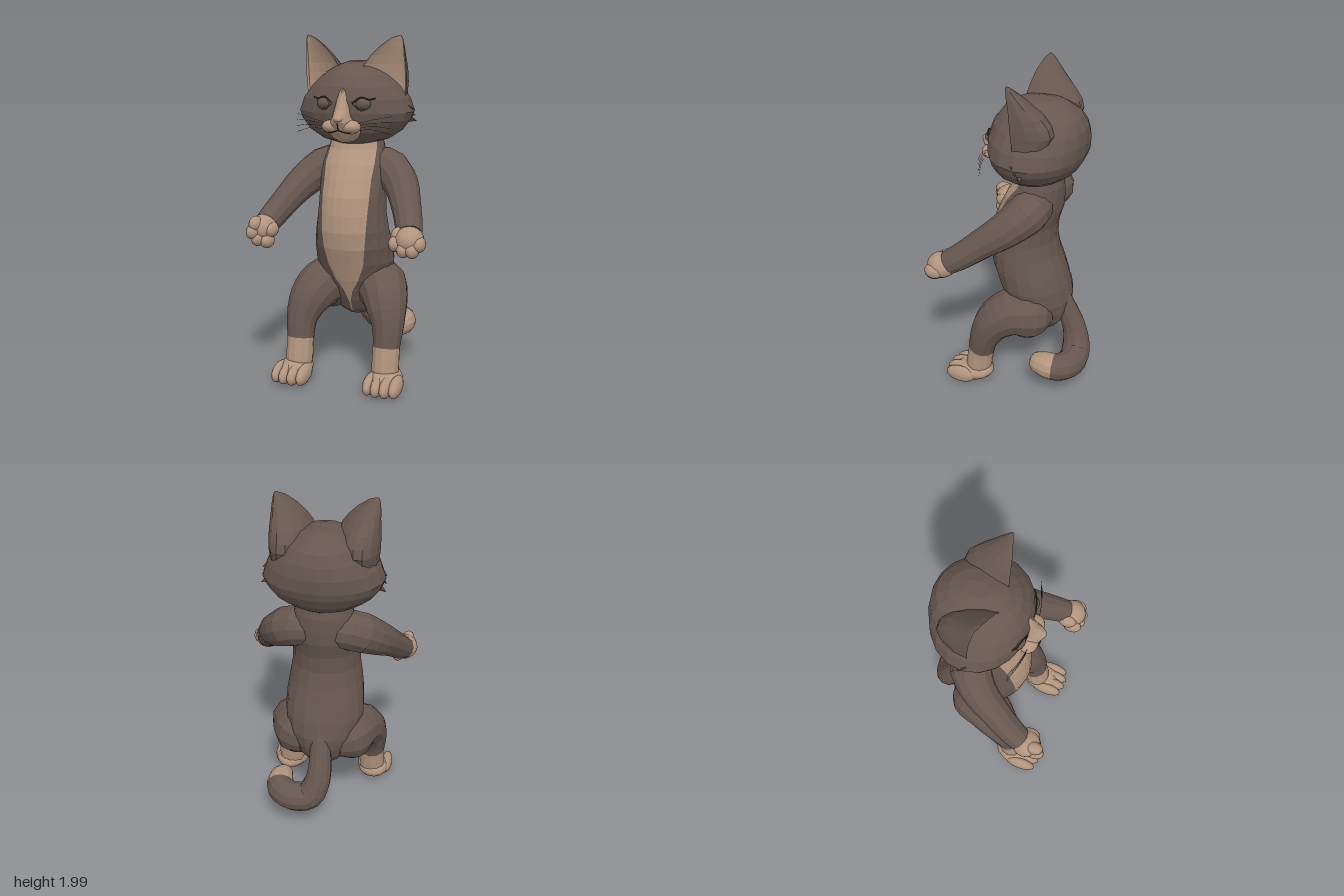
import * as THREE from 'three';

const mat = (name, color) => Object.assign(new THREE.MeshStandardMaterial({ color }), { name });
const V = (x, y, z) => new THREE.Vector3(x, y, z);

export function createModel() {
  const fur = mat('dark fur', 0x66574f);
  const cream = mat('cream fur', 0xb2957f);
  const ink = mat('dark line', 0x3d332e);

  const model = new THREE.Group();
  const cat = new THREE.Group();
  cat.name = 'cat';
  cat.position.x = -0.015;
  model.add(cat);

  const add = (name, geometry, material) => {
    const mesh = new THREE.Mesh(geometry, material);
    mesh.name = name;
    cat.add(mesh);
    return mesh;
  };

  // Faceted skin over closed rings, capped at both ends; pick chooses material 0 or 1
  const skin = (name, rings, mats, pick = () => 0) => {
    const lists = mats.map(() => []);
    const tri = (k, ...pts) => pts.forEach((p) => lists[k].push(p.x, p.y, p.z));
    const n = rings[0].length;
    const middle = (r) => r.reduce((s, p) => s.add(p), V(0, 0, 0)).divideScalar(n);
    const end = rings[rings.length - 1];
    const first = middle(rings[0]);
    const last = middle(end);
    for (let j = 0; j < n; j++) {
      const k = (j + 1) % n;
      for (let i = 0; i < rings.length - 1; i++) {
        const a = rings[i], b = rings[i + 1], m = pick(i, j);
        tri(m, a[j], a[k], b[k]);
        tri(m, a[j], b[k], b[j]);
      }
      tri(pick(0, j), first, rings[0][k], rings[0][j]);
      tri(pick(rings.length - 2, j), last, end[j], end[k]);
    }
    const g = new THREE.BufferGeometry();
    g.setAttribute('position', new THREE.Float32BufferAttribute(lists.flat(), 3));
    let start = 0;
    lists.forEach((l, m) => {
      g.addGroup(start, l.length / 3, m);
      start += l.length / 3;
    });
    g.computeVertexNormals();
    return add(name, g, mats);
  };

  // Horizontal oval: half width w, back zb, front zf; the first `nf` columns span +-bib at the front
  const oval = (y, w, zb, zf, bib = 0.9, n = 20, nf = 6) => {
    const zc = (zb + zf) / 2, d = (zf - zb) / 2;
    return Array.from({ length: n }, (_, j) => {
      const a = j <= nf ? -bib + (2 * bib * j) / nf
        : bib + ((2 * Math.PI - 2 * bib) * (j - nf)) / (n - nf);
      return V(w * Math.sin(a), y, zc + d * Math.cos(a));
    });
  };

  // Tapered limb along a smooth path of [x, y, z, radius]
  const limb = (name, pts, mats, steps, split = steps, sides = 12) => {
    const path = new THREE.CatmullRomCurve3(pts.map((p) => V(p[0], p[1], p[2])));
    const width = new THREE.CatmullRomCurve3(pts.map((p, i) => V(p[3], i, 0)));
    const normal = V(0.31, 0.2, 0.93);
    const rings = [];
    for (let i = 0; i <= steps; i++) {
      const c = path.getPoint(i / steps), t = path.getTangent(i / steps);
      const r = width.getPoint(i / steps).x;
      normal.addScaledVector(t, -normal.dot(t)).normalize();
      const side = t.clone().cross(normal);
      rings.push(Array.from({ length: sides }, (_, j) => {
        const a = (j / sides) * Math.PI * 2;
        return c.clone().addScaledVector(normal, r * Math.cos(a)).addScaledVector(side, r * Math.sin(a));
      }));
    }
    return skin(name, rings, mats, (i) => (i >= split ? 1 : 0));
  };

  const ball = (name, pos, size, material, tilt = 0) => {
    const m = add(name, new THREE.SphereGeometry(1, 14, 10), material);
    m.position.set(...pos);
    m.scale.set(...size);
    m.rotation.x = tilt;
    return m;
  };
  const line = (name, pts, r) => add(name,
    new THREE.TubeGeometry(new THREE.CatmullRomCurve3(pts.map((p) => V(...p))), 8, r, 4), ink);

  // Torso with the cream bib
  skin('torso', [
    [0.355, 0.06, -0.16, -0.04, 0.02], [0.4, 0.12, -0.22, 0.02, 0.03],
    [0.46, 0.16, -0.265, 0.055, 0.04], [0.53, 0.19, -0.285, 0.085, 0.14],
    [0.6, 0.215, -0.29, 0.115, 0.32], [0.7, 0.235, -0.27, 0.15, 0.47],
    [0.8, 0.23, -0.24, 0.188, 0.56], [0.9, 0.215, -0.205, 0.205, 0.66],
    [1.0, 0.2, -0.185, 0.2, 0.75], [1.1, 0.195, -0.19, 0.18, 0.8],
    [1.2, 0.2, -0.218, 0.14, 0.78], [1.28, 0.2, -0.222, 0.1, 0.82],
    [1.36, 0.168, -0.22, 0.05, 1.0], [1.44, 0.15, -0.2, 0.02, 1.1],
  ].map((r) => oval(...r)), [fur, cream], (i, j) => (j < 6 ? 1 : 0));

  // Head
  skin('head', [
    [1.395, 0.11, -0.2, 0.05], [1.42, 0.2, -0.24, 0.1], [1.47, 0.275, -0.3, 0.155],
    [1.53, 0.322, -0.335, 0.18], [1.575, 0.338, -0.35, 0.19], [1.65, 0.31, -0.355, 0.19],
    [1.72, 0.258, -0.345, 0.168], [1.78, 0.195, -0.315, 0.125], [1.83, 0.12, -0.25, 0.06],
    [1.855, 0.045, -0.17, -0.03],
  ].map((r) => oval(...r)), [fur]);

  // Nose bridge, muzzle and chin
  skin('muzzle', [
    [1.415, 0.04, 0.03, 0.16], [1.435, 0.07, 0.03, 0.195], [1.47, 0.098, 0.03, 0.22],
    [1.5, 0.1, 0.03, 0.24], [1.535, 0.07, 0.05, 0.262], [1.56, 0.052, 0.08, 0.265],
    [1.6, 0.048, 0.08, 0.23], [1.65, 0.04, 0.08, 0.206], [1.69, 0.028, 0.08, 0.19],
    [1.71, 0.012, 0.1, 0.18],
  ].map((r) => oval(...r, 1.1, 14, 6)), [cream]);
  ball('noseTip', [0, 1.553, 0.248], [0.028, 0.018, 0.022], cream);
  line('noseCrease', [[0, 1.535, 0.264], [0, 1.515, 0.256], [0, 1.495, 0.246]], 0.003);
  line('mouth', [[-0.09, 1.5, 0.19], [-0.05, 1.475, 0.238], [0, 1.492, 0.247],
    [0.05, 1.475, 0.238], [0.09, 1.5, 0.19]], 0.003);

  for (const s of [1, -1]) {
    const side = s > 0 ? 'left' : 'right';

    // Face details
    ball(side + 'WhiskerPad', [s * 0.052, 1.507, 0.192], [0.062, 0.038, 0.052], cream);
    ball(side + 'Eye', [s * 0.11, 1.63, 0.148], [0.048, 0.037, 0.042], fur);
    line(side + 'UpperLid', [[s * 0.06, 1.635, 0.187], [s * 0.105, 1.667, 0.175],
      [s * 0.15, 1.655, 0.158], [s * 0.18, 1.662, 0.14]], 0.004);
    line(side + 'LowerLid', [[s * 0.06, 1.632, 0.187], [s * 0.11, 1.594, 0.177],
      [s * 0.155, 1.625, 0.158]], 0.002);
    for (let k = 0; k < 4; k++) {
      const y = 1.49 + k * 0.012;
      line(side + 'Whisker', [[s * 0.09, y, 0.2], [s * 0.18, y + 0.005 + k * 0.006, 0.185],
        [s * 0.28, y - 0.025 + k * 0.022, 0.15]], 0.001);
    }

    // Cheek tufts
    [[1.6, -0.06], [1.565, -0.08], [1.53, -0.11]].forEach(([y, z]) => {
      const tuft = add(side + 'CheekTuft', new THREE.ConeGeometry(0.035, 0.08, 4), fur);
      tuft.position.set(s * 0.312, y, z);
      tuft.quaternion.setFromUnitVectors(V(0, 1, 0), V(s, -0.35, -0.6).normalize());
    });

    // Ear: hollow front in cream, skewed so it opens outwards; rows are x, y, half width, rim z, depth
    const earRings = [
      [0.185, 1.66, 0.11, -0.02, 0.19], [0.178, 1.74, 0.122, -0.01, 0.235],
      [0.178, 1.79, 0.122, -0.005, 0.225], [0.188, 1.84, 0.11, -0.005, 0.185],
      [0.204, 1.89, 0.09, -0.005, 0.13], [0.228, 1.94, 0.064, -0.005, 0.08],
      [0.255, 1.985, 0.03, -0.01, 0.03], [0.272, 2.0, 0.004, -0.015, 0.004],
    ].map(([x, y, w, z, d]) => Array.from({ length: 16 }, (_, j) => {
      const a = (j / 16 - 0.25) * Math.PI * 2, c = Math.cos(a);
      const across = w * Math.sin(a);
      return V(s * x + across, y, z - s * across * 0.35 + (c > 0 ? -0.22 * d : d) * c);
    }).map((p, j) => (j > 8 ? p.setZ(2 * (z - s * (p.x - s * x) * 0.35) - p.z + 2 * d * Math.cos((j / 16 - 0.25) * Math.PI * 2)) : p)));
    skin(side + 'Ear', earRings, [fur, cream], (i, j) => (j < 8 ? 1 : 0));

    // Arm
    limb(side + 'Arm', [
      [0.06, 1.25, -0.1, 0.1], [0.18, 1.245, -0.095, 0.118], [0.285, 1.17, -0.01, 0.102],
      [0.35, 1.08, 0.11, 0.085], [0.4, 0.99, 0.225, 0.076], [0.42, 0.95, 0.285, 0.07],
    ].map(([x, ...r]) => [s * x, ...r]), [fur], 12);

    // Leg with cream sock
    limb(side + 'Leg', [
      [0.06, 0.51, -0.17, 0.09], [0.13, 0.53, -0.1, 0.16], [0.195, 0.53, 0.01, 0.145],
      [0.24, 0.46, 0.1, 0.122], [0.265, 0.36, 0.15, 0.094], [0.265, 0.25, 0.178, 0.08],
      [0.265, 0.12, 0.2, 0.08], [0.265, 0.06, 0.21, 0.065],
    ].map(([x, ...r]) => [s * x, ...r]), [fur, cream], 21, 15);

    // Foot and toes
    ball(side + 'Foot', [s * 0.275, 0.073, 0.235], [0.1, 0.06, 0.135], cream, 0.16);
    for (let k = 0; k < 4; k++) {
      const outer = k === 0 || k === 3;
      ball(side + 'Toe', [s * (0.202 + k * 0.051), 0.062, outer ? 0.288 : 0.302],
        [0.036, 0.055, 0.1], cream, 0.1);
    }
  }

  // Hands: the left hangs palm down, the right is turned inward
  const hands = {
    left: [[0.43, 0.93, 0.325], [[0.36, 0.912, 0.35], [0.408, 0.885, 0.362],
      [0.458, 0.885, 0.365], [0.488, 0.915, 0.345], [0.365, 0.95, 0.315]]],
    right: [[-0.425, 0.935, 0.325], [[-0.445, 0.965, 0.375], [-0.457, 0.922, 0.387],
      [-0.435, 0.882, 0.37], [-0.388, 0.868, 0.35], [-0.368, 0.93, 0.335]]],
  };
  for (const [side, [palm, fingers]] of Object.entries(hands)) {
    ball(side + 'Palm', palm, [0.082, 0.074, 0.085], cream);
    fingers.forEach((f) => ball(side + 'Finger', f, [0.038, 0.044, 0.056], cream));
  }

  // Tail hanging down, curling round to a cream tip
  limb('tail', [
    [0, 0.66, -0.22, 0.045], [-0.01, 0.52, -0.265, 0.062], [-0.01, 0.37, -0.325, 0.074],
    [0.04, 0.255, -0.355, 0.087], [0.14, 0.235, -0.362, 0.087], [0.225, 0.245, -0.315, 0.082],
    [0.24, 0.25, -0.225, 0.075], [0.23, 0.25, -0.16, 0.05], [0.228, 0.25, -0.14, 0.015],
  ], [fur, cream], 24, 16);

  return model;
}
